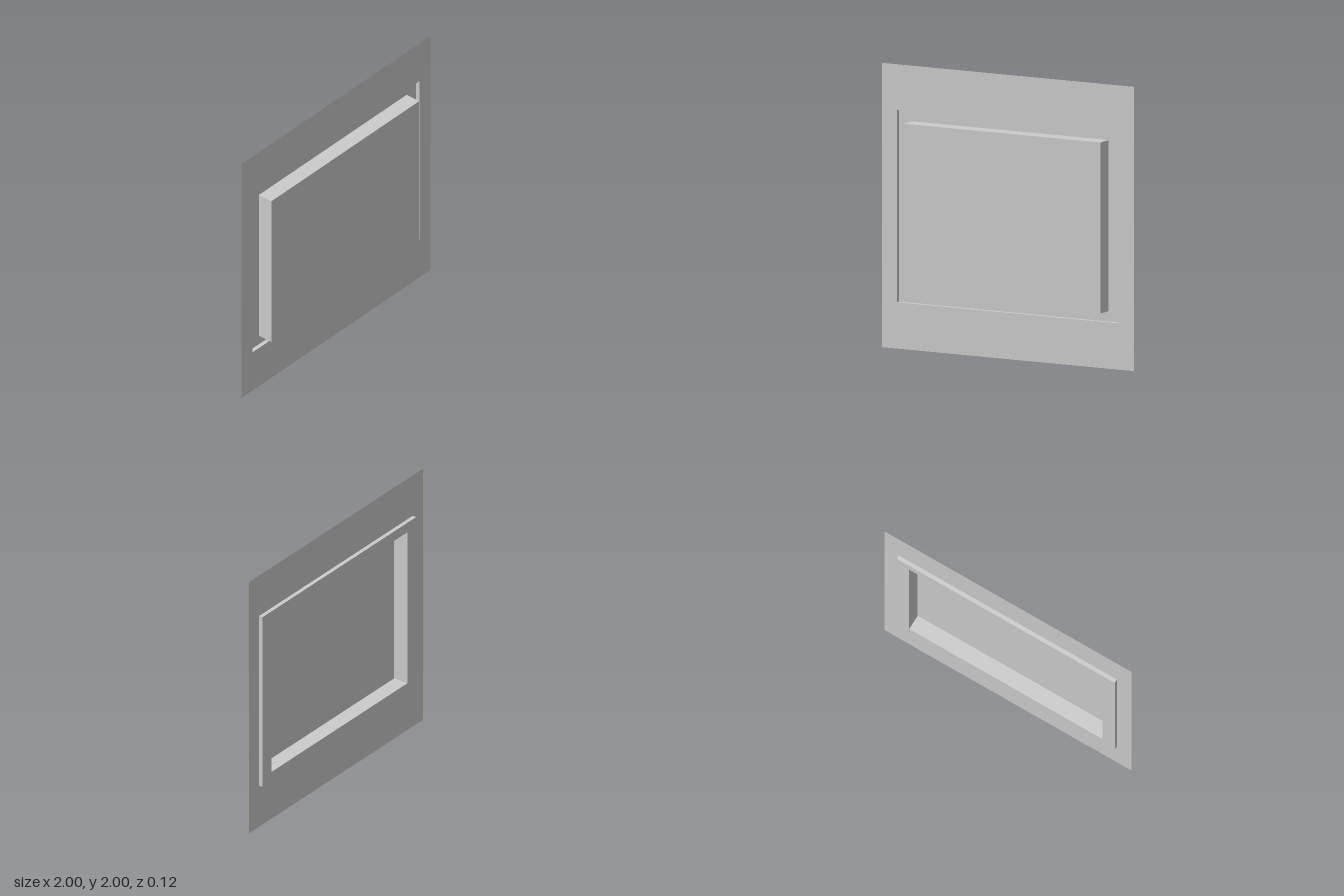
import * as THREE from 'three';

const material = new THREE.MeshStandardMaterial({ color: 0xcccccc, side: THREE.DoubleSide });

// Corners of an upright rectangle, counter-clockwise seen from the front
const rect = (halfWidth, bottom, top, z) => [
  [-halfWidth, bottom, z], [halfWidth, bottom, z], [halfWidth, top, z], [-halfWidth, top, z],
];

// Four quads joining an outer rectangle to an inner one
function band(name, outer, inner) {
  const points = [];
  for (let i = 0; i < 4; i++) {
    const j = (i + 1) % 4;
    points.push(...outer[i], ...outer[j], ...inner[j], ...outer[i], ...inner[j], ...inner[i]);
  }
  const geometry = new THREE.BufferGeometry();
  geometry.setAttribute('position', new THREE.Float32BufferAttribute(points, 3));
  geometry.computeVertexNormals();
  const mesh = new THREE.Mesh(geometry, material);
  mesh.name = name;
  return mesh;
}

export function createModel() {
  const group = new THREE.Group();
  group.name = 'pressedPanel';

  const plateZ = -0.028, grooveZ = -0.0575, frontZ = 0.0575;
  const plateEdge = rect(1, 0, 2, plateZ);
  const grooveRim = rect(0.883, 0.326, 1.678, plateZ);
  const grooveOuter = rect(0.883, 0.326, 1.678, grooveZ);
  const grooveInner = rect(0.783, 0.4, 1.603, grooveZ);
  const panelEdge = rect(0.783, 0.4, 1.603, frontZ);

  // Thin sheet stepping back into a groove, then forward to the raised panel
  group.add(
    band('borderPlate', plateEdge, grooveRim),
    band('grooveWall', grooveRim, grooveOuter),
    band('grooveFloor', grooveOuter, grooveInner),
    band('panelWall', grooveInner, panelEdge),
  );

  // Raised centre face, open behind
  const face = new THREE.Mesh(new THREE.PlaneGeometry(1.566, 1.203), material);
  face.position.set(0, 1.0015, frontZ);
  face.name = 'panelFace';
  group.add(face);

  return group;
}
